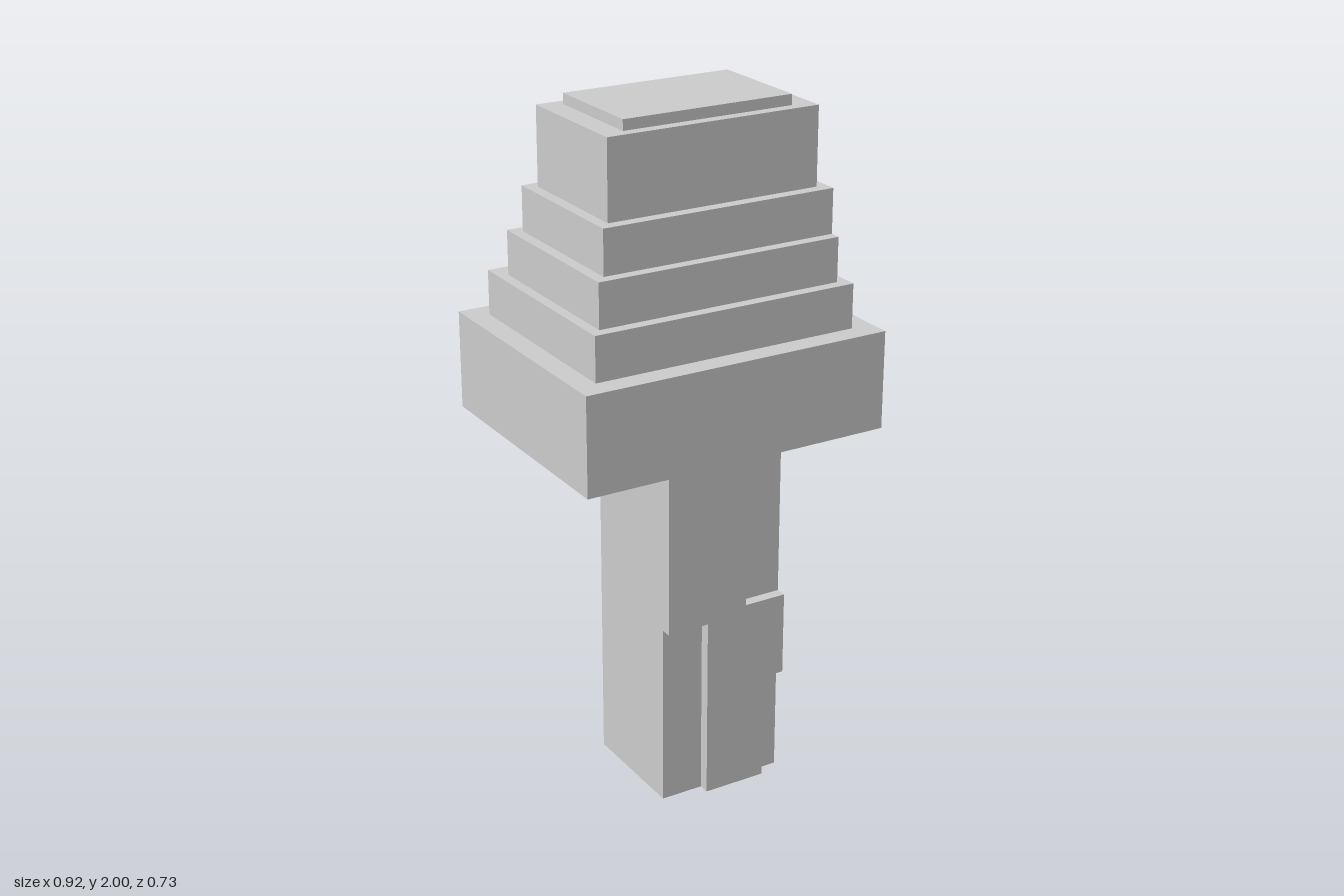
import * as THREE from 'three';

const grey = new THREE.MeshStandardMaterial({ color: 0xcccccc, flatShading: true });

// Box given by its lower and upper limits on each axis
function boxBetween(name, [x0, x1], [y0, y1], [z0, z1]) {
  const mesh = new THREE.Mesh(new THREE.BoxGeometry(x1 - x0, y1 - y0, z1 - z0), grey);
  mesh.position.set((x0 + x1) / 2, (y0 + y1) / 2, (z0 + z1) / 2);
  mesh.name = name;
  return mesh;
}

export function createModel() {
  const model = new THREE.Group();
  model.name = 'blockyTree';

  // Trunk: square core, with a front bark layer notched in three places
  const trunk = new THREE.Group();
  trunk.name = 'trunk';
  const left = -0.144, right = 0.237, top = 1.083, barkBack = 0.205, barkFront = 0.237;
  trunk.add(boxBetween('trunkCore', [left, right], [0, top], [-0.144, barkBack]));

  const outline = [
    [-0.017, 0], [0.172, 0], [0.172, 0.323], [right, 0.323], [right, 0.572],
    [0.108, 0.572], [0.108, top], [left, top], [left, 0.545], [-0.017, 0.545],
  ];
  const barkShape = new THREE.Shape(outline.map(([x, y]) => new THREE.Vector2(x, y)));
  const bark = new THREE.Mesh(
    new THREE.ExtrudeGeometry(barkShape, { depth: barkFront - barkBack, bevelEnabled: false }),
    grey
  );
  bark.position.z = barkBack;
  bark.name = 'trunkBark';
  trunk.add(bark);
  model.add(trunk);

  // Foliage: stacked slabs, slightly off-centre; x range, top height, z range
  const foliage = new THREE.Group();
  foliage.name = 'foliage';
  const tiers = [
    [[-0.46, 0.46], 1.366, [-0.367, 0.364]],
    [[-0.397, 0.395], 1.494, [-0.303, 0.3]],
    [[-0.367, 0.364], 1.621, [-0.239, 0.268]],
    [[-0.335, 0.364], 1.748, [-0.208, 0.237]],
    [[-0.303, 0.333], 1.97, [-0.176, 0.204]],
    [[-0.239, 0.269], 2, [-0.144, 0.172]],
  ];
  let base = top;
  tiers.forEach(([x, height, z], i) => {
    foliage.add(boxBetween(`foliageTier${i + 1}`, x, [base, height], z));
    base = height;
  });
  model.add(foliage);

  return model;
}
